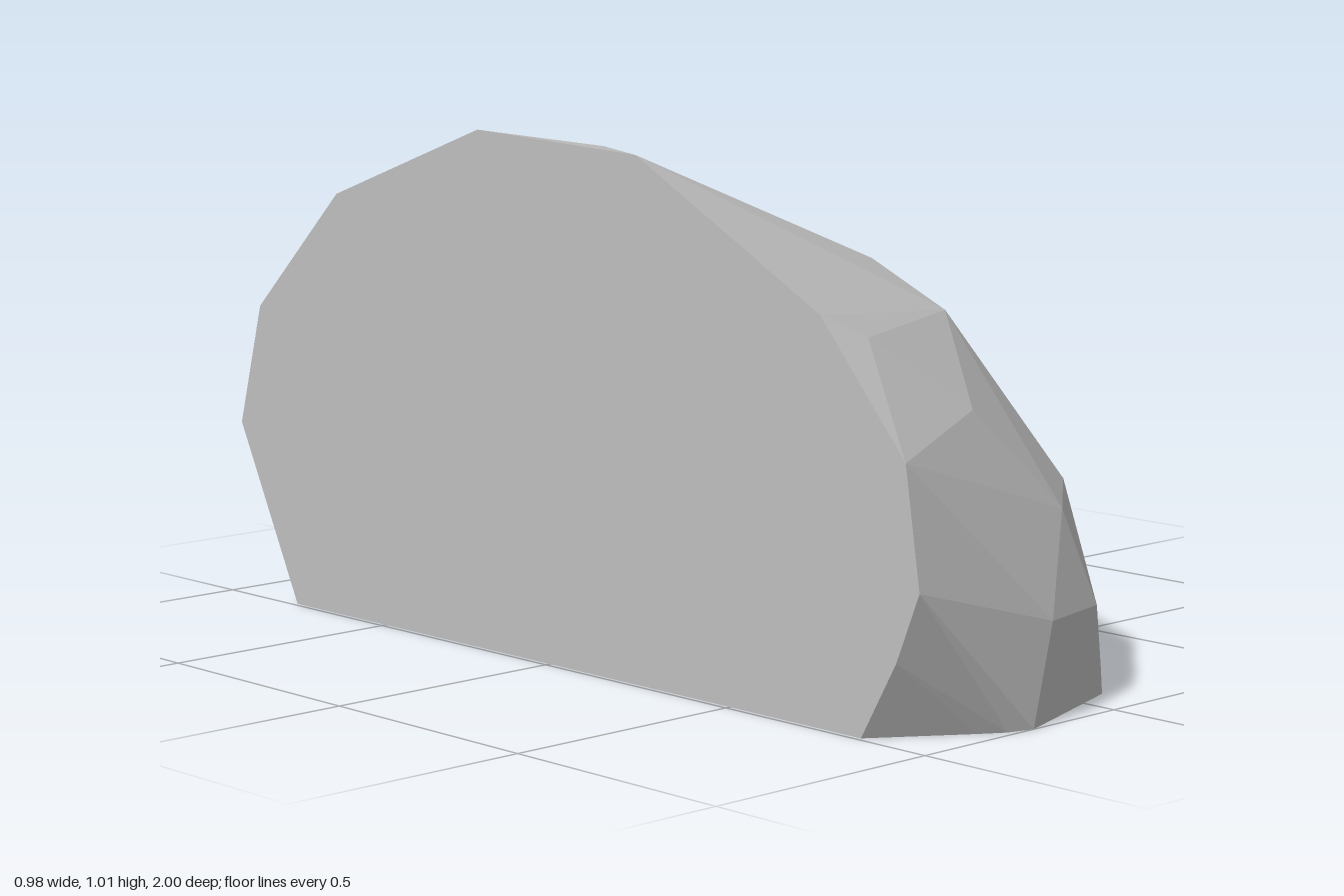
import * as THREE from 'three';
import { ConvexGeometry } from 'three/addons/geometries/ConvexGeometry.js';

export function createModel() {
  const stone = new THREE.MeshStandardMaterial({ color: 0xbfbfbf });
  stone.name = 'stoneGrey';

  // flat cut side at x = -0.49, listed as [y, z] from back to front
  const cutOutline = [
    [0, -0.79], [0.36, -0.97], [0.61, -0.9], [0.86, -0.64], [1.015, -0.2],
    [0.995, 0.25], [0.744, 0.73], [0.505, 0.94], [0.28, 0.975], [0.148, 0.92], [0, 0.835],
  ];

  // flat underside at y = 0, listed as [x, z] from back to front
  const baseOutline = [
    [-0.33, -0.95], [-0.2, -1], [0.03, -0.96], [0.18, -0.84], [0.436, -0.45], [0.49, -0.2],
    [0.48, 0.22], [0.264, 0.74], [0.083, 0.9], [-0.218, 1], [-0.27, 0.985], [-0.317, 0.955],
  ];

  // corners of the faceted dome, [x, y, z]
  const domeCorners = [
    // crown
    [-0.29, 0.98, -0.06], [-0.38, 0.99, -0.27],
    // upper ring
    [-0.41, 0.7, 0.77], [-0.03, 0.7, 0.6], [0.01, 0.775, 0.37], [0.155, 0.73, 0.1],
    [0.08, 0.73, -0.29], [-0.13, 0.745, -0.635], [-0.05, 0.61, -0.725], [-0.24, 0.56, -0.91],
    // middle ring
    [-0.223, 0.56, 0.85], [-0.035, 0.364, 0.9], [0.183, 0.37, 0.71], [0.295, 0.54, 0.285],
    [0.39, 0.425, -0.09], [0.315, 0.447, -0.37], [0.25, 0.324, -0.63], [-0.39, 0.36, -0.985],
    // lower ring
    [-0.17, 0.19, 1], [0.03, 0.18, 0.93], [0.366, 0.194, 0.53], [0.475, 0.19, 0.23],
    [0.48, 0.195, -0.15], [0.14, 0.126, -0.85],
  ];

  const points = [
    ...cutOutline.map(([y, z]) => new THREE.Vector3(-0.49, y, z)),
    ...baseOutline.map(([x, z]) => new THREE.Vector3(x, 0, z)),
    ...domeCorners.map((p) => new THREE.Vector3(...p)),
  ];

  // half boulder wrapped around all corners, flat facets
  const boulder = new THREE.Mesh(new ConvexGeometry(points), stone);
  boulder.name = 'halfBoulder';

  const group = new THREE.Group();
  group.name = 'rock';
  group.add(boulder);
  return group;
}
